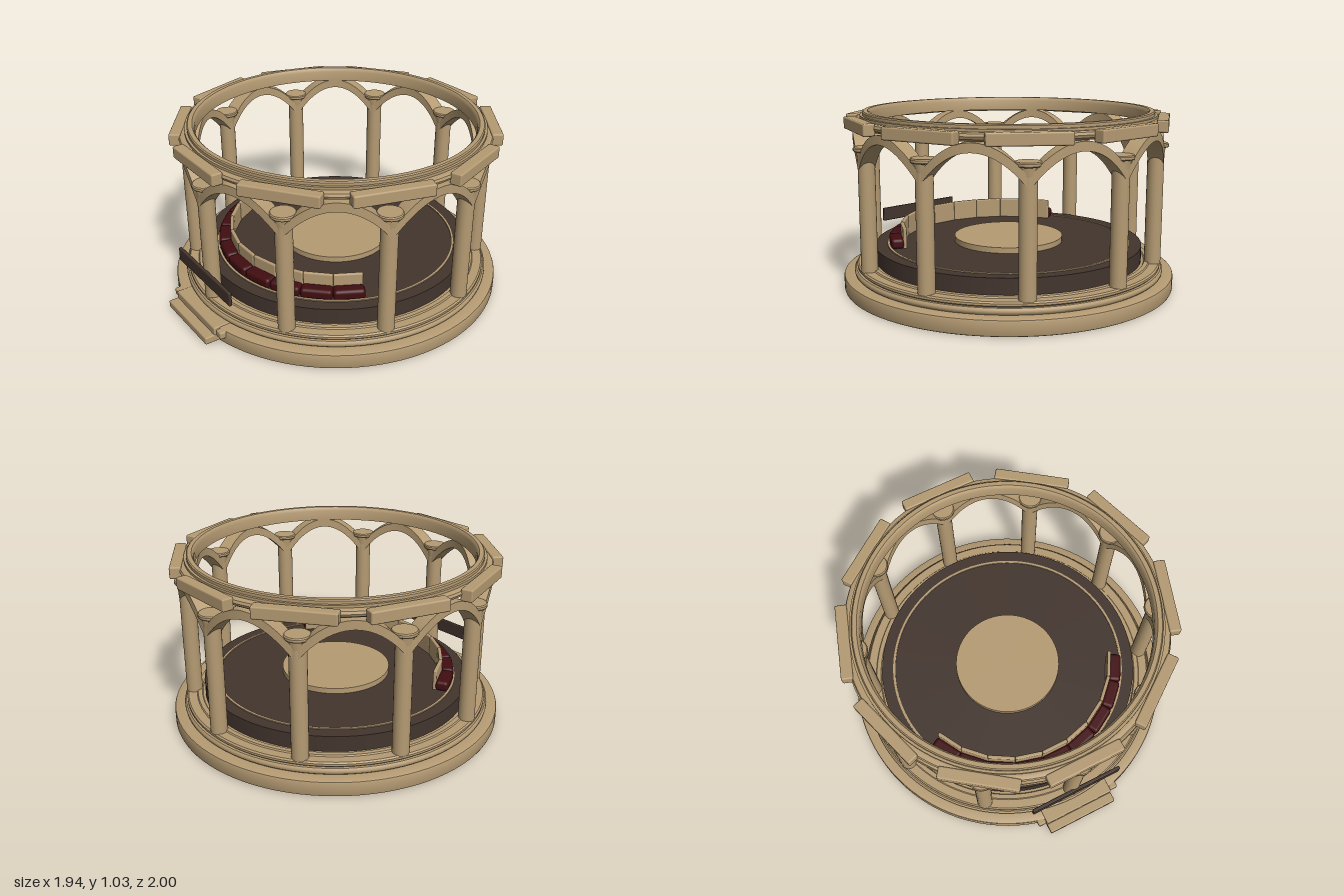
import * as THREE from 'three';
import { toCreasedNormals } from 'three/addons/utils/BufferGeometryUtils.js';
import { RoundedBoxGeometry } from 'three/addons/geometries/RoundedBoxGeometry.js';

const COLUMNS = 10;
const COLUMN_R = 0.85;

function material(name, color) {
  const m = new THREE.MeshStandardMaterial({ color });
  m.name = name;
  return m;
}

function addMesh(parent, name, geometry, mat, x = 0, y = 0, z = 0) {
  const mesh = new THREE.Mesh(geometry, mat);
  mesh.name = name;
  mesh.position.set(x, y, z);
  parent.add(mesh);
  return mesh;
}

// Turned solid from [radius, height] pairs, listed from the bottom outwards and up
function turned(points, segments = 96) {
  const profile = points.map(([r, y]) => new THREE.Vector2(r, y));
  return toCreasedNormals(new THREE.LatheGeometry(profile, segments), 0.6);
}

// Mesh placed on a circle, turned to face outwards
function addAround(parent, name, geometry, mat, angle, radius, y) {
  const mesh = addMesh(parent, name, geometry, mat, radius * Math.sin(angle), y, radius * Math.cos(angle));
  mesh.rotation.y = angle;
  return mesh;
}

// Arch band bent around the rotunda, spanning from one column to the next
function archGeometry() {
  const g = new THREE.BoxGeometry(2, 1, 1, 28, 1, 1);
  const p = g.attributes.position;
  for (let i = 0; i < p.count; i++) {
    const t = p.getX(i);
    const a = t * Math.PI / COLUMNS;
    const r = COLUMN_R + p.getZ(i) * 0.09;
    const y = p.getY(i) > 0 ? 0.945 - 0.165 * t * t : 0.895 - 0.18 * t * t;
    p.setXYZ(i, r * Math.sin(a), y, r * Math.cos(a));
  }
  g.computeVertexNormals();
  return g;
}

export function createModel() {
  const root = new THREE.Group();
  root.name = 'rotunda';
  const stone = material('sandstone', 0xb59b73);
  const dark = material('dark brown', 0x43352e);
  const red = material('deep red', 0x420d11);

  const hall = new THREE.Group();
  hall.name = 'roundHall';
  hall.position.z = -0.03;
  root.add(hall);

  // Stepped base with softened rims
  addMesh(hall, 'base', turned([
    [0, 0], [0.96, 0], [0.967, 0.004], [0.97, 0.012], [0.97, 0.078], [0.967, 0.086], [0.96, 0.09],
    [0.9, 0.09], [0.908, 0.098], [0.91, 0.108], [0.908, 0.118], [0.9, 0.126],
    [0.885, 0.126], [0.893, 0.134], [0.893, 0.146], [0.885, 0.154],
    [0.835, 0.154], [0.83, 0.162], [0.805, 0.162], [0.8, 0.154], [0, 0.154],
  ]), stone);

  // Raised floor, inlay ring and central dais
  addMesh(hall, 'floor', new THREE.CylinderGeometry(0.785, 0.785, 0.1, 96), dark, 0, 0.195, 0);
  addMesh(hall, 'floorRing', turned([[0.702, 0.243], [0.716, 0.243], [0.716, 0.251], [0.702, 0.251], [0.702, 0.243]]), stone);
  addMesh(hall, 'dais', new THREE.CylinderGeometry(0.32, 0.32, 0.035, 72), stone, 0, 0.26, 0);

  // Columns, capitals, arches and top blocks
  const columnG = new THREE.CylinderGeometry(0.047, 0.047, 0.67, 24);
  const capitalG = turned([[0, 0.78], [0.047, 0.78], [0.052, 0.825], [0.066, 0.828], [0.07, 0.833], [0.07, 0.846], [0.065, 0.852], [0, 0.852]], 24);
  const archG = archGeometry();
  const blockG = new RoundedBoxGeometry(0.43, 0.068, 0.065, 2, 0.009);
  for (let i = 0; i < COLUMNS; i++) {
    const a = i * 2 * Math.PI / COLUMNS;
    addAround(hall, 'column', columnG, stone, a, COLUMN_R, 0.485);
    addAround(hall, 'capital', capitalG, stone, a, COLUMN_R, 0);
    addAround(hall, 'arch', archG, stone, a + Math.PI / COLUMNS, 0, 0);
    addAround(hall, 'topBlock', blockG, stone, a, 0.885, 0.966);
  }

  // Moulded crown ring
  addMesh(hall, 'crownRing', turned([
    [0.795, 0.945], [0.86, 0.945], [0.882, 0.958], [0.888, 0.972], [0.882, 0.986], [0.868, 0.992],
    [0.852, 0.992], [0.852, 1.006], [0.838, 1.006], [0.838, 1.022], [0.832, 1.028],
    [0.808, 1.028], [0.802, 1.022], [0.795, 1.005], [0.795, 0.945],
  ]), stone);

  // Curved bench made of cushions with backrests on the inner side
  const cushionG = new RoundedBoxGeometry(0.176, 0.06, 0.075, 3, 0.02);
  const backG = new RoundedBoxGeometry(0.163, 0.125, 0.022, 2, 0.008);
  for (let i = -4; i <= 4; i++) {
    const a = i * Math.PI / 12;
    addAround(hall, 'benchCushion', cushionG, red, a, 0.665, 0.272);
    addAround(hall, 'benchBack', backG, stone, a, 0.623, 0.303);
  }

  // Entrance steps and dark board at the front
  addMesh(root, 'lowerStep', new RoundedBoxGeometry(0.44, 0.044, 0.2, 2, 0.008), stone, 0, 0.03, 0.9);
  addMesh(root, 'upperStep', new RoundedBoxGeometry(0.44, 0.05, 0.12, 2, 0.008), stone, 0, 0.071, 0.885);
  for (const s of [-1, 1]) {
    addMesh(root, 'stepCheek', new RoundedBoxGeometry(0.05, 0.045, 0.08, 2, 0.01), stone, s * 0.245, 0.065, 0.895);
  }
  addMesh(root, 'frontBoard', new RoundedBoxGeometry(0.575, 0.084, 0.02, 2, 0.006), dark, 0, 0.29, 0.868);

  return root;
}
